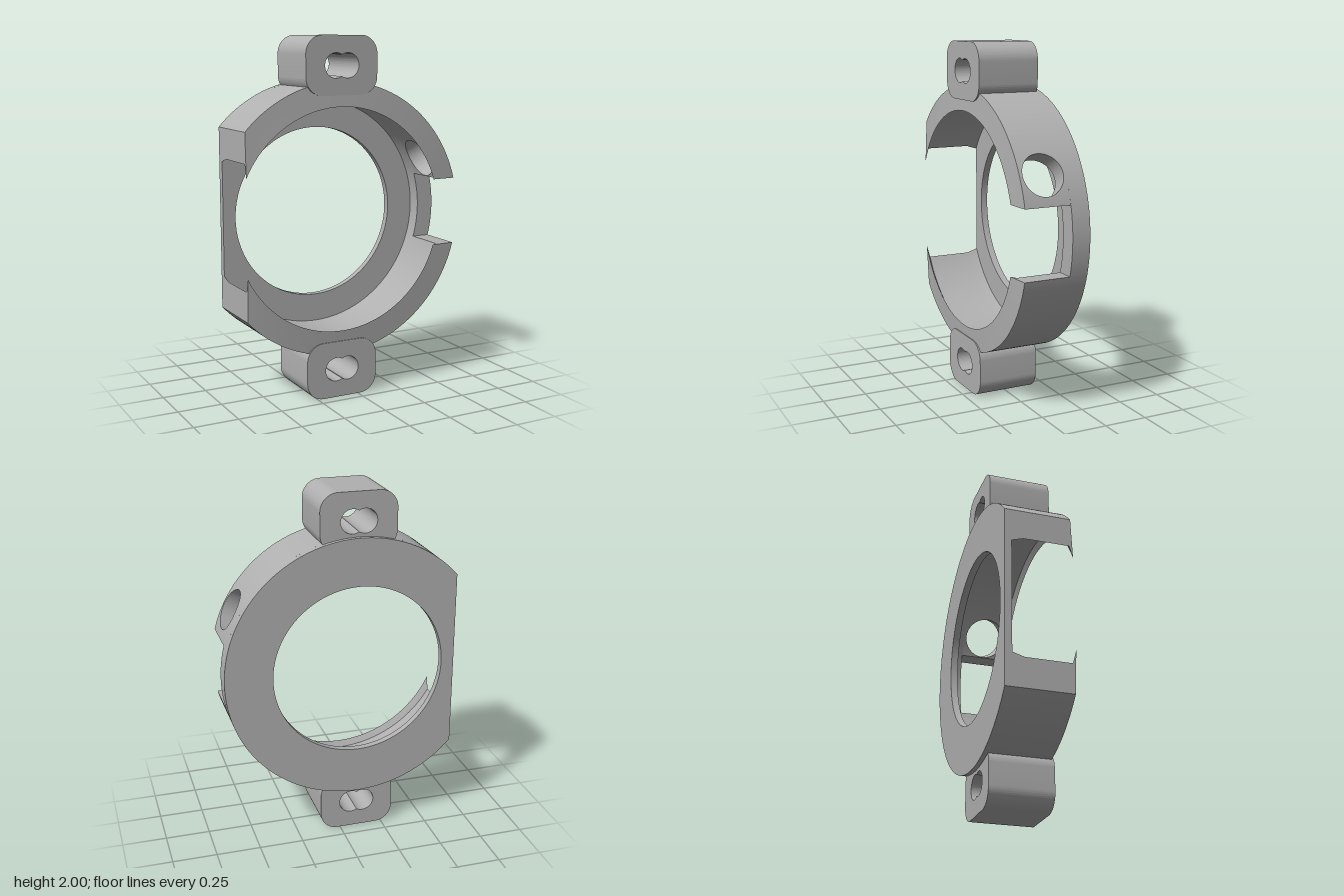
import * as THREE from 'three';
import { toCreasedNormals } from 'three/addons/utils/BufferGeometryUtils.js';

const CX = -0.1, CY = 1;            // ring axis
const R = 0.755, BORE = 0.487;      // outer radius, floor opening
const FLAT = 0.56, GAP = 0.19;      // axis to flat side, half height of the side notch
const Z0 = -0.19, ZF = -0.15, ZG = -0.085, ZL = 0.17; // back, floor, notch floor, lip start
const RW = 0.655;                   // inner wall radius
const HOLE = { angle: 27.5 * Math.PI / 180, z: 0.045, r: 0.117 };
const SPLIT = 0.75;                 // angle where the drilled stretch of wall ends

const gapAngle = r => Math.asin(GAP / r);
const flatAngle = r => Math.acos(-FLAT / r);

// Collects triangles given in (radius, angle, z); side = -1 mirrors top to bottom
function builder(side = 1) {
  const pos = [];
  const put = ([r, a, z]) => pos.push(CX + r * Math.cos(a), CY + side * r * Math.sin(a), z);
  const tri = (a, b, c) => (side > 0 ? [a, b, c] : [a, c, b]).forEach(put);
  const quad = (a, b, c, d) => { tri(a, b, c); tri(a, c, d); };
  const finish = () => {
    const g = new THREE.BufferGeometry();
    g.setAttribute('position', new THREE.Float32BufferAttribute(pos, 3));
    return toCreasedNormals(g, 0.3);
  };
  return { tri, quad, finish };
}

// Sweeps a (radius, z) section between two angles that may depend on the radius
function sweep(b, section, from, to, steps, { skip = [], startCap = true, endCap = true } = {}) {
  const at = ([r, z], u) => [r, from(r) + (to(r) - from(r)) * u, z];
  section.forEach((p, i) => {
    if (skip.includes(i)) return;
    const q = section[(i + 1) % section.length];
    for (let k = 0; k < steps; k++) {
      const u = k / steps, v = (k + 1) / steps;
      b.quad(at(p, u), at(q, u), at(q, v), at(p, v));
    }
  });
  const pts = section.map(([r, z]) => new THREE.Vector2(r, z));
  for (const f of THREE.ShapeUtils.triangulateShape(pts, [])) {
    let [i, j, k] = f;
    if (THREE.ShapeUtils.area([pts[i], pts[j], pts[k]]) < 0) [j, k] = [k, j];
    if (startCap) b.tri(at(section[i], 0), at(section[j], 0), at(section[k], 0));
    if (endCap) b.tri(at(section[i], 1), at(section[k], 1), at(section[j], 1));
  }
}

// Wall stretch with a radial round hole
function drill(b) {
  const N = 64, RINGS = 6;
  const rim = (r, j) => {
    const f = j / N * Math.PI * 2;
    return [r, HOLE.angle + Math.asin(HOLE.r * Math.cos(f) / r), HOLE.z + HOLE.r * Math.sin(f)];
  };
  const border = (r, j) => {
    const f = j / N * Math.PI * 2, c = Math.cos(f), s = Math.sin(f);
    const m = Math.max(Math.abs(c), Math.abs(s)), a0 = gapAngle(r), top = r === R ? 0.18 : ZL;
    return [r, a0 + (SPLIT - a0) * (c / m + 1) / 2, ZG + (top - ZG) * (s / m + 1) / 2];
  };
  const mix = (r, j, t) => {
    const p = rim(r, j), q = border(r, j);
    return p.map((v, i) => v + (q[i] - v) * t);
  };
  for (let j = 0; j < N; j++) {
    for (let k = 0; k < RINGS; k++) {
      const t = k / RINGS, u = (k + 1) / RINGS;
      b.quad(mix(R, j, t), mix(R, j, u), mix(R, j + 1, u), mix(R, j + 1, t));
      b.quad(mix(RW, j, t), mix(RW, j + 1, t), mix(RW, j + 1, u), mix(RW, j, u));
    }
    b.quad(rim(R, j), rim(R, j + 1), rim(RW, j + 1), rim(RW, j));
  }
}

function extrude(shape, z0, z1) {
  const g = new THREE.ExtrudeGeometry(shape, { depth: z1 - z0, bevelEnabled: false, curveSegments: 80 });
  g.translate(0, 0, z0);
  return toCreasedNormals(g, 0.5);
}

// Rounded lug outline with a slot of two overlapping circles, centred on the ring axis
function lugShape() {
  const w = 0.215, y0 = 0.68, y1 = 1, c = 0.1, h = Math.PI / 2;
  const s = new THREE.Shape();
  s.absarc(w - c, y0 + c, c, -h, 0);
  s.absarc(w - c, y1 - c, c, 0, h);
  s.absarc(-w + c, y1 - c, c, h, 2 * h);
  s.absarc(-w + c, y0 + c, c, 2 * h, 3 * h);
  s.closePath();
  const slot = new THREE.Path(), r = 0.067, d = 0.035, a = Math.acos(d / r);
  slot.absarc(d, 0.84, r, a - Math.PI, Math.PI - a);
  slot.absarc(-d, 0.84, r, a, 2 * Math.PI - a);
  s.holes.push(slot);
  return s;
}

export function createModel() {
  const group = new THREE.Group();
  const grey = new THREE.MeshStandardMaterial({ color: 0xb0b0b0 });
  grey.name = 'grey';
  const add = (name, geometry) => {
    const m = new THREE.Mesh(geometry, grey);
    m.name = name;
    group.add(m);
    return m;
  };

  // Floor plate: disc with one flat side and a round opening
  const disc = new THREE.Shape();
  disc.absarc(0, 0, R, -flatAngle(R), flatAngle(R));
  disc.closePath();
  const opening = new THREE.Path();
  opening.absarc(0, 0, BORE, 0, Math.PI * 2);
  disc.holes.push(opening);
  add('floorPlate', extrude(disc, Z0, ZF)).position.set(CX, CY, 0);

  // Wall section: drafted foot, straight wall, inward lip, slightly coned front
  const wall = [[0.645, ZF], [RW, ZG], [RW, ZL], [0.62, 0.19], [R, 0.18], [R, ZG], [R, ZF]];

  const upper = builder();
  sweep(upper, wall, gapAngle, () => SPLIT, 20, { skip: [1, 4], endCap: false });
  drill(upper);
  sweep(upper, wall, () => SPLIT, flatAngle, 60, { startCap: false });
  add('upperWall', upper.finish());

  const lower = builder(-1);
  sweep(lower, wall, gapAngle, flatAngle, 80);
  add('lowerWall', lower.finish());

  // Low sill across the side notch
  const sill = builder();
  sweep(sill, [[0.645, ZF], [RW, ZG], [R, ZG], [R, ZF]], r => -gapAngle(r), gapAngle, 20);
  add('notchSill', sill.finish());

  // Mounting lugs at top and bottom
  for (const [name, turn] of [['upperLug', 0], ['lowerLug', Math.PI]]) {
    const lug = add(name, extrude(lugShape(), -0.165, 0.19));
    lug.position.set(CX, CY, 0);
    lug.rotation.z = turn;
  }
  return group;
}
